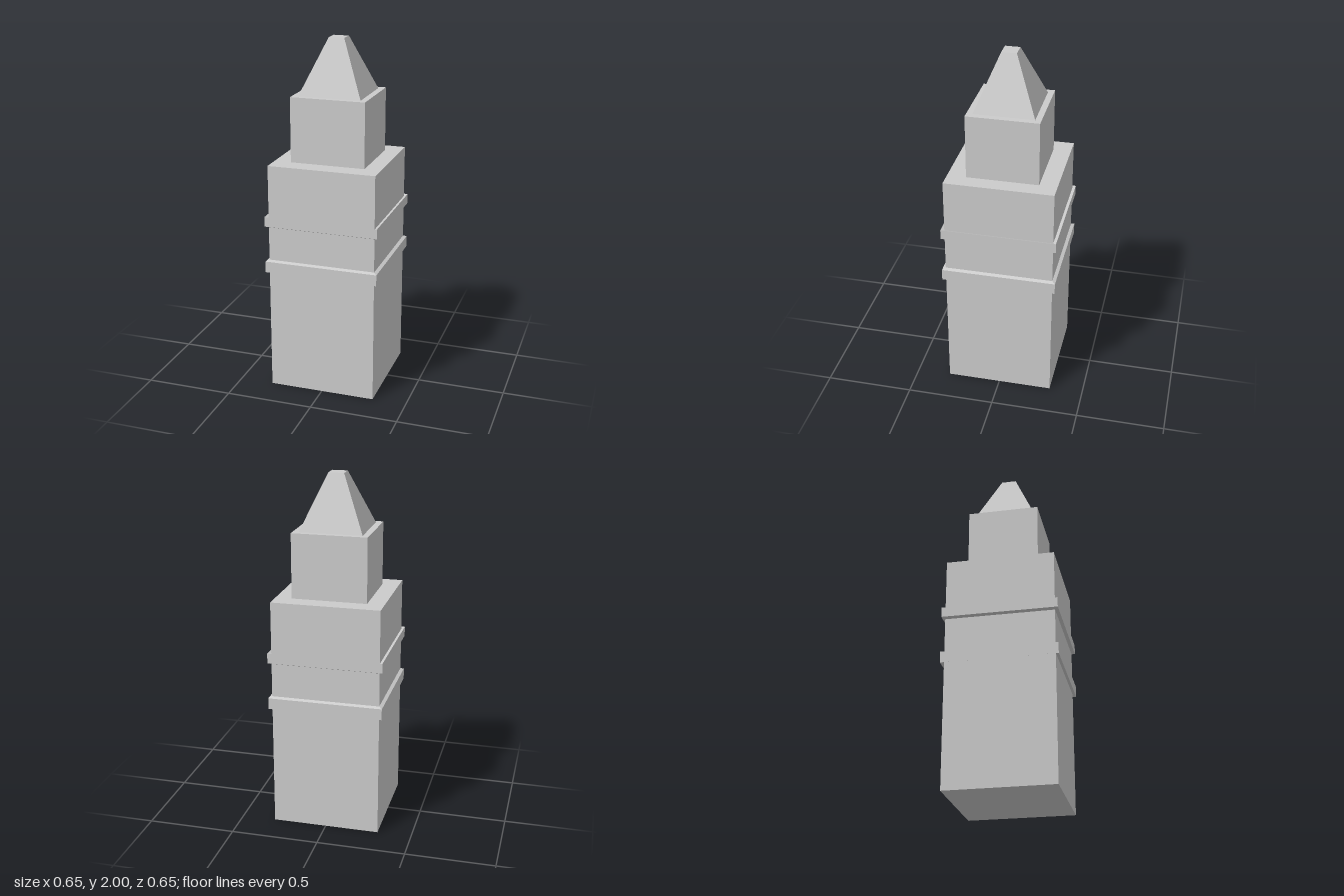
import * as THREE from 'three';

const material = new THREE.MeshStandardMaterial({ color: 0xcccccc, flatShading: true });

// Square part turned from a profile of [half width, height], bottom to top.
function squarePart(name, profile, depthRatio = 1) {
  const points = profile.map(([half, y]) => new THREE.Vector2(half * Math.SQRT2, y));
  const geometry = new THREE.LatheGeometry(points, 4, Math.PI / 4).toNonIndexed();
  geometry.scale(1, 1, depthRatio);
  geometry.computeVertexNormals();
  const mesh = new THREE.Mesh(geometry, material);
  mesh.name = name;
  return mesh;
}

export function createModel() {
  const group = new THREE.Group();
  group.name = 'steppedTower';

  const body = 0.306;
  const rim = 0.324;

  // Main shaft
  group.add(squarePart('shaft', [[0, 0], [body, 0], [body, 1.327], [0, 1.327]]));

  // Ledges: the lower one slopes down outwards, the upper one slopes up outwards
  group.add(squarePart('lowerLedge', [[body, 0.715], [rim, 0.707], [rim, 0.771], [body, 0.779]]));
  group.add(squarePart('upperLedge', [[body, 0.972], [rim, 0.98], [rim, 1.036], [body, 1.028]]));

  // Upper block and spire, set slightly off the shaft's axis
  const top = new THREE.Group();
  top.name = 'towerTop';
  top.position.set(0.002, 0, -0.003);
  top.add(squarePart('upperBlock', [[0.212, 1.327], [0.212, 1.693], [0, 1.693]], 0.955));
  top.add(squarePart('spire', [[0.177, 1.693], [0.044, 2], [0, 2]], 0.955));
  group.add(top);

  return group;
}
